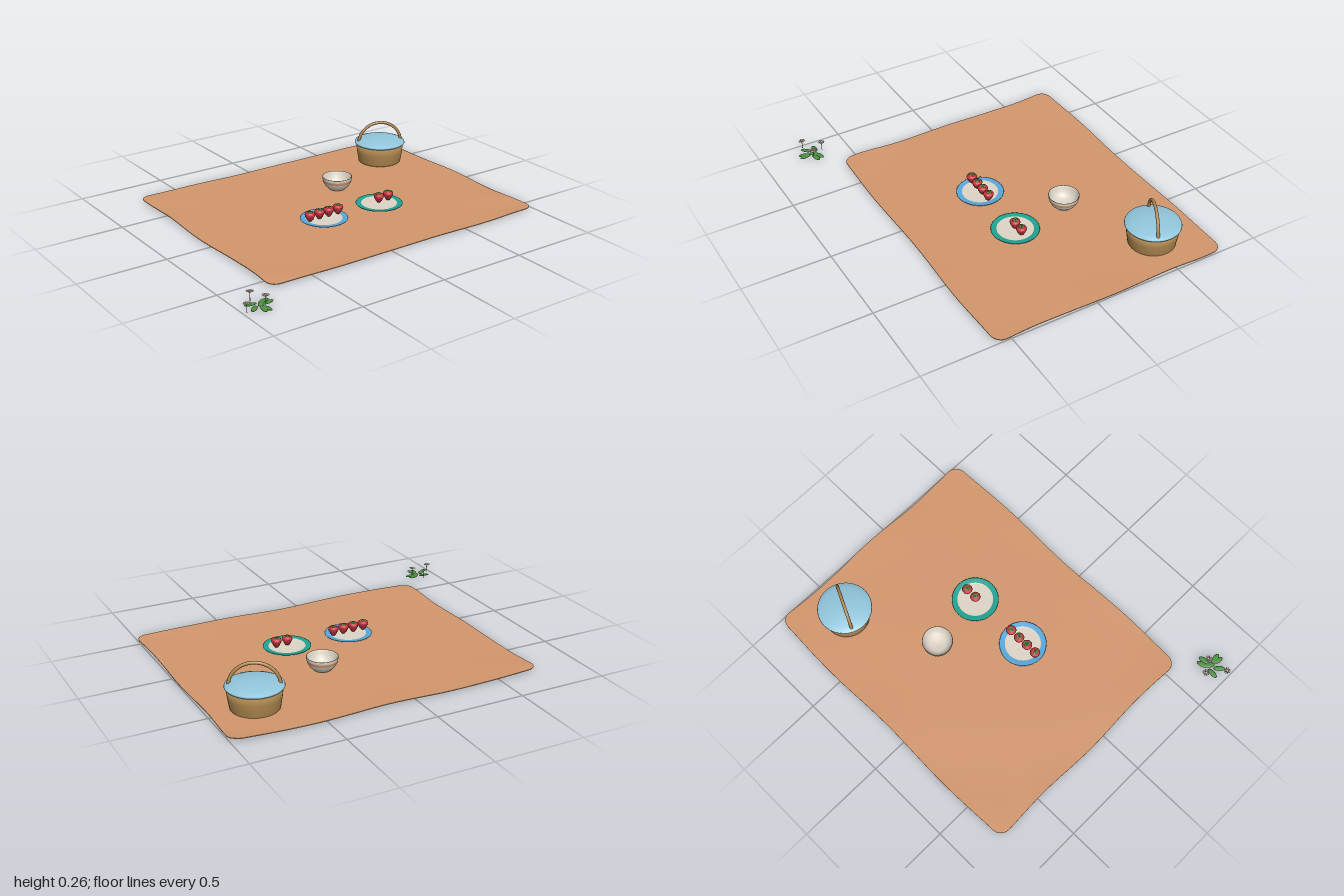
import * as THREE from 'three';

const mat = (name, color, side = THREE.FrontSide) => {
  const m = new THREE.MeshStandardMaterial({ color, side });
  m.name = name;
  return m;
};

export function createModel() {
  const root = new THREE.Group();
  root.name = 'picnic';
  const D = THREE.DoubleSide;
  const terracotta = mat('terracotta', 0xd2966c);
  const wicker = mat('wicker', 0xb08850);
  const paleBlue = mat('paleBlue', 0x92c6dc);
  const blue = mat('plateBlue', 0x58a8dc);
  const teal = mat('plateTeal', 0x1fa392);
  const cream = mat('cream', 0xdcd4c6);
  const red = mat('strawberryRed', 0xc8303c);
  const green = mat('leafGreen', 0x4c9140, D);
  const petal = mat('petalPink', 0xe6cdcc, D);
  const seed = mat('seedYellow', 0xe6c070);

  const add = (parent, name, geo, material, x = 0, y = 0, z = 0) => {
    const m = new THREE.Mesh(geo, material);
    m.name = name;
    m.position.set(x, y, z);
    parent.add(m);
    return m;
  };
  const group = (name, x, y, z) => {
    const g = new THREE.Group();
    g.name = name;
    g.position.set(x, y, z);
    root.add(g);
    return g;
  };
  const lathe = (pts, n = 48) => new THREE.LatheGeometry(pts.map(p => new THREE.Vector2(...p)), n);

  // Blanket: thin slab with rounded corners, wavy edges and soft wrinkles
  const hw = 0.868, hd = 0.693, r = 0.06;
  const cloth = new THREE.BoxGeometry(hw * 2, 0.004, hd * 2, 90, 1, 72);
  const p = cloth.attributes.position;
  for (let i = 0; i < p.count; i++) {
    let x = p.getX(i), z = p.getZ(i);
    const u = x / hw, v = z / hd;
    const dx = Math.abs(x) - (hw - r), dz = Math.abs(z) - (hd - r);
    if (dx > 0 && dz > 0) {
      const k = Math.max(dx, dz) / Math.hypot(dx, dz);
      x = Math.sign(x) * (hw - r + dx * k);
      z = Math.sign(z) * (hd - r + dz * k);
    }
    const edge = Math.max(Math.abs(u), Math.abs(v)) ** 6;
    const corner = (u * v) ** 2;
    const lift = edge * 0.0025 * (1 + Math.sin(u * 8 + v * 5))
      + corner * 0.0045 * (1 + Math.sin(u * 9 - v * 11))
      + 0.0006 * (1 + Math.sin(u * 6 + 1) * Math.cos(v * 7));
    x += 0.006 * u * u * u * Math.cos(v * 6);
    z -= 0.006 * v * v * v * Math.cos(u * 6);
    p.setXYZ(i, x, p.getY(i) + lift, z);
  }
  cloth.computeVertexNormals();
  add(root, 'blanket', cloth, terracotta, 0.127, 0.005, -0.102);

  // Basket with domed lid and arched handle
  const basket = group('basket', 0.755, 0.006, -0.51);
  add(basket, 'basketBody', lathe([[0, 0], [0.12, 0], [0.128, 0.008], [0.138, 0.07], [0.144, 0.124], [0, 0.124]]), wicker);
  add(basket, 'basketLid', lathe([[0, 0.118], [0.147, 0.118], [0.152, 0.124], [0.149, 0.131], [0.12, 0.142], [0.07, 0.151], [0.03, 0.154], [0, 0.155]]), paleBlue);
  const arch = [];
  for (let i = 0; i <= 16; i++) {
    const a = Math.PI * i / 16;
    arch.push(new THREE.Vector3(-0.13 * Math.cos(a), 0.12 + 0.125 * Math.sin(a), 0));
  }
  const handle = add(basket, 'basketHandle', new THREE.TubeGeometry(new THREE.CatmullRomCurve3(arch), 48, 0.009, 10), wicker);
  handle.rotation.y = -0.44;

  // Bowl with a painted stripe
  const bowl = group('bowl', 0.265, 0.01, -0.273);
  add(bowl, 'bowlShell', lathe([[0, 0], [0.045, 0], [0.05, 0.005], [0.068, 0.022], [0.079, 0.044], [0.084, 0.062], [0.086, 0.076],
    [0.083, 0.077], [0.079, 0.062], [0.073, 0.044], [0.061, 0.024], [0.04, 0.011], [0, 0.009]]), cream);
  add(bowl, 'bowlStripe', lathe([[0.0795, 0.044], [0.083, 0.054], [0.0848, 0.0615]]), terracotta);

  // Strawberry with seeds and leafy cap
  const berryProfile = [[0, 0], [0.009, 0.003], [0.018, 0.014], [0.026, 0.03], [0.029, 0.041], [0.026, 0.05], [0.016, 0.055], [0, 0.056]];
  const berryGeo = lathe(berryProfile, 20);
  const seedGeo = new THREE.SphereGeometry(0.0017, 6, 4);
  const sepalGeo = new THREE.SphereGeometry(1, 8, 5).scale(0.009, 0.0015, 0.0045);
  const strawberry = (x, z, turn) => {
    const g = group('strawberry', x, 0.024, z);
    g.rotation.y = turn;
    add(g, 'berry', berryGeo, red);
    [[0.0185, 0.014, 6], [0.0265, 0.03, 8], [0.029, 0.041, 8]].forEach(([sr, y, n], row) => {
      for (let i = 0; i < n; i++) {
        const a = (i + row / 2) / n * Math.PI * 2;
        add(g, 'seed', seedGeo, seed, sr * Math.cos(a), y, sr * Math.sin(a));
      }
    });
    for (let i = 0; i < 6; i++) {
      const a = i / 6 * Math.PI * 2;
      const s = add(g, 'sepal', sepalGeo, green, 0.011 * Math.cos(a), 0.0562, -0.011 * Math.sin(a));
      s.rotation.set(0, a, -0.2, 'YXZ');
    }
    add(g, 'berryStem', new THREE.CylinderGeometry(0.0015, 0.002, 0.006, 6), green, 0, 0.058, 0);
  };

  // Plates with coloured rims and cream centres
  const plateGeo = lathe([[0, 0], [0.085, 0], [0.1, 0.004], [0.131, 0.011], [0.132, 0.0135], [0.128, 0.0145], [0.1, 0.011], [0.094, 0.008], [0, 0.008]]);
  const centreGeo = lathe([[0.101, 0.0117], [0.095, 0.0092], [0, 0.0092]]);
  [['bluePlate', -0.065, blue, [-0.158, -0.096, -0.035, 0.027]], ['tealPlate', 0.312, teal, [0.31, 0.375]]].forEach(([name, x, rim, berries]) => {
    const g = group(name, x, 0.011, 0.065);
    add(g, 'plateRim', plateGeo, rim);
    add(g, 'plateCentre', centreGeo, cream);
    berries.forEach((bx, i) => strawberry(bx, 0.065, i * 1.3));
  });

  // Flower patch: leaves spread around the middle, then three daisies
  const patch = group('flowerPatch', -0.893, 0, 0.715);
  const leafGeo = new THREE.SphereGeometry(1, 14, 8).scale(0.033, 0.004, 0.015);
  [[-0.034, -0.03, -0.1], [0.04, -0.03, 0.3], [0.05, -0.005, 0.2], [-0.042, 0.018, 0.75], [-0.005, 0.046, 1.35], [0.012, 0.046, 1.75], [0.012, -0.008, 0.9]]
    .forEach(([x, z, a]) => {
      const l = add(patch, 'leaf', leafGeo, green, x, 0.006, z);
      l.rotation.y = a;
    });
  const petalGeo = new THREE.SphereGeometry(1, 8, 5).scale(0.0075, 0.0012, 0.0032);
  [[-0.086, 0.023, 0.05], [-0.012, -0.068, 0.055], [0.032, 0.002, 0.051]].forEach(([x, z, h]) => {
    add(patch, 'flowerStem', new THREE.CylinderGeometry(0.0015, 0.002, h, 6), green, x, h / 2, z);
    for (let i = 0; i < 10; i++) {
      const a = i / 10 * Math.PI * 2;
      const m = add(patch, 'petal', petalGeo, petal, x + 0.0135 * Math.cos(a), h, z - 0.0135 * Math.sin(a));
      m.rotation.set(0, a, 0.12, 'YXZ');
    }
    add(patch, 'flowerCentre', new THREE.SphereGeometry(0.007, 10, 6).scale(1, 0.5, 1), seed, x, h + 0.001, z);
  });

  return root;
}
